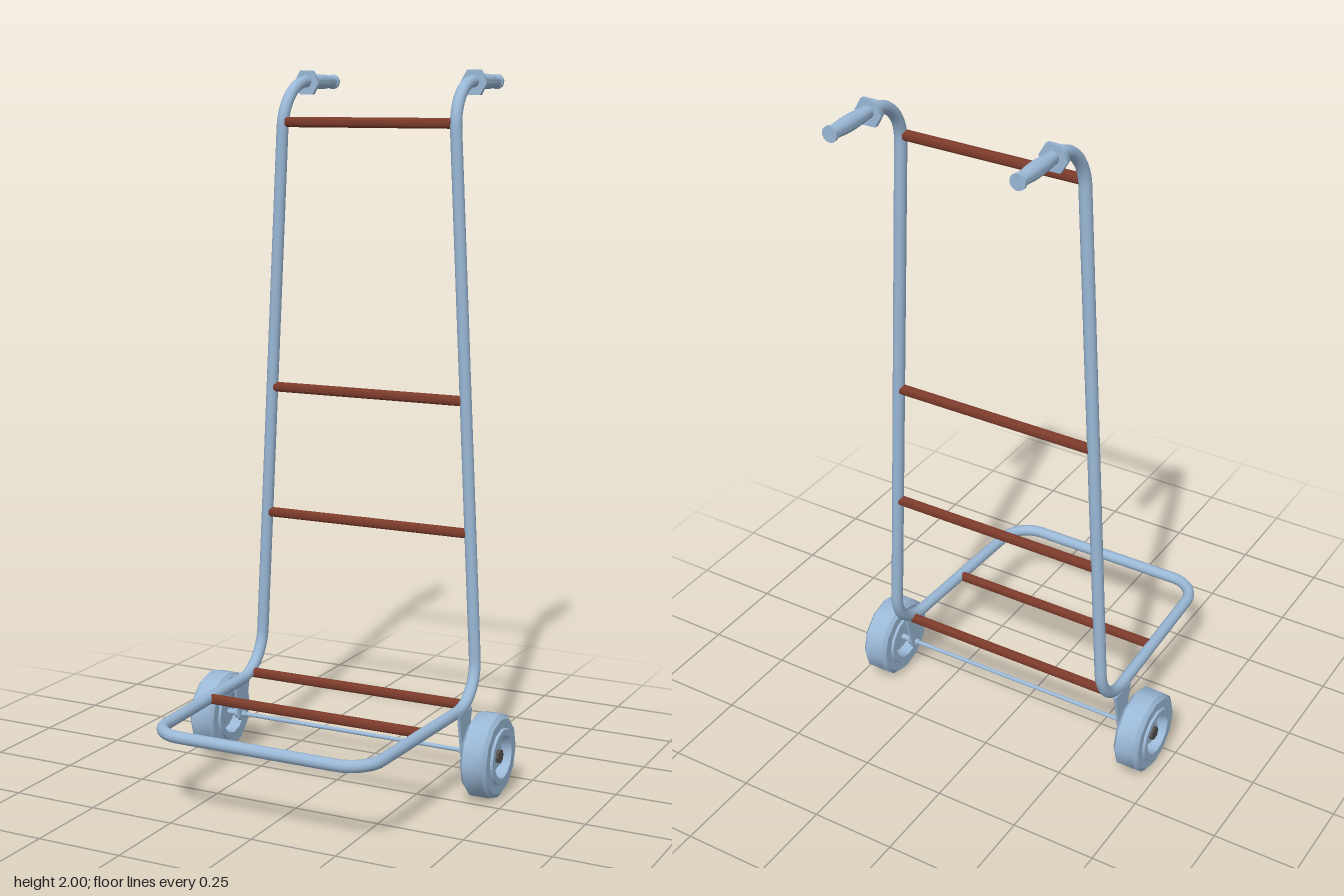
import * as THREE from 'three';
import { toCreasedNormals } from 'three/addons/utils/BufferGeometryUtils.js';

const V = (x, y, z) => new THREE.Vector3(x, y, z);

// Path through corner points, each inner corner rounded over its fillet length
function filletPath(corners) {
  const path = new THREE.CurvePath();
  let last = corners[0].p;
  for (let i = 1; i < corners.length - 1; i++) {
    const { p, r } = corners[i];
    const a = corners[i - 1].p.clone().sub(p).setLength(r).add(p);
    const b = corners[i + 1].p.clone().sub(p).setLength(r).add(p);
    path.add(new THREE.LineCurve3(last, a));
    path.add(new THREE.CubicBezierCurve3(a, a.clone().lerp(p, 0.55), b.clone().lerp(p, 0.55), b));
    last = b;
  }
  path.add(new THREE.LineCurve3(last, corners[corners.length - 1].p));
  return path;
}

export function createModel() {
  const steel = new THREE.MeshStandardMaterial({ color: 0x9ab8d6 });
  steel.name = 'blueSteel';
  const brown = new THREE.MeshStandardMaterial({ color: 0x7c3b2b });
  brown.name = 'redBrown';
  const dark = new THREE.MeshStandardMaterial({ color: 0x55524f });
  dark.name = 'darkGrey';

  const group = new THREE.Group();
  group.name = 'handTruck';
  const add = (name, geometry, material, x = 0, y = 0, z = 0) => {
    const mesh = new THREE.Mesh(geometry, material);
    mesh.name = name;
    mesh.position.set(x, y, z);
    group.add(mesh);
    return mesh;
  };
  // Cylinder lying along x
  const rodX = (r, length, sides) => new THREE.CylinderGeometry(r, r, length, sides).rotateZ(-Math.PI / 2);
  const creased = (g) => toCreasedNormals(g, 0.6);

  // One bent tube: handle, upright, base loop, upright, handle
  const half = [
    { p: V(0.262, 1.968, -0.36), r: 0 },
    { p: V(0.262, 1.968, -0.185), r: 0.13 },
    { p: V(0.35, 0.235, -0.185), r: 0.125 },
    { p: V(0.323, 0.235, 0.473), r: 0.085 },
  ];
  const other = half.map(({ p, r }) => ({ p: V(-p.x, p.y, p.z), r })).reverse();
  add('frameTube', new THREE.TubeGeometry(filletPath([...half, ...other]), 320, 0.017, 12, false), steel);

  // Cross bars: y, z, half length
  const bars = [
    ['topBar', 1.855, -0.185, 0.255],
    ['middleBar', 1.093, -0.185, 0.297],
    ['lowerBar', 0.718, -0.185, 0.315],
    ['rearBaseBar', 0.241, -0.115, 0.337],
    ['frontBaseBar', 0.235, 0.145, 0.326],
  ];
  for (const [name, y, z, h] of bars) add(name, creased(rodX(0.0145, h * 2, 12)), brown, 0, y, z);

  // Grip profile, running back along the handle
  const grip = [[0, 0], [0.017, 0], [0.019, 0.03], [0.0215, 0.07], [0.021, 0.1], [0.018, 0.135],
    [0.018, 0.148], [0.0215, 0.151], [0.0215, 0.16], [0, 0.16]].map(([r, y]) => new THREE.Vector2(r, y));
  const gripGeo = creased(new THREE.LatheGeometry(grip, 14).rotateX(-Math.PI / 2));

  // Hexagonal hand guard with corners pointing sideways
  const guardGeo = new THREE.CylinderGeometry(0.04, 0.04, 0.013, 6).rotateY(Math.PI / 2).rotateX(Math.PI / 2);

  // Wheel profile from centre to tread, mirrored for the other face
  const face = [[0, -0.028], [0.034, -0.028], [0.036, -0.014], [0.056, -0.014], [0.062, -0.046],
    [0.079, -0.046], [0.082, -0.039], [0.108, -0.039], [0.12, -0.029]];
  const profile = [...face, ...face.slice().reverse().map(([r, y]) => [r, -y])]
    .map(([r, y]) => new THREE.Vector2(r, y));
  const wheelGeo = toCreasedNormals(new THREE.LatheGeometry(profile, 12).rotateZ(-Math.PI / 2), 0.56);

  // Axle bracket: tapered plate with a rounded lower end
  const plate = new THREE.Shape();
  plate.moveTo(-0.045, 0.115);
  plate.lineTo(-0.018, -0.008);
  plate.absarc(0, 0, 0.02, Math.PI * 1.13, Math.PI * 1.87, false);
  plate.lineTo(0.045, 0.115);
  plate.closePath();
  const plateGeo = new THREE.ExtrudeGeometry(plate, { depth: 0.008, bevelEnabled: false, curveSegments: 6 })
    .translate(0, 0, -0.004).rotateY(Math.PI / 2);

  const axleY = 0.12, axleZ = -0.08;
  for (const [side, s] of [['left', 1], ['right', -1]]) {
    add(side + 'Grip', gripGeo, steel, s * 0.262, 1.968, -0.33);
    add(side + 'HandGuard', guardGeo, steel, s * 0.262, 1.9655, -0.324);
    add(side + 'Wheel', wheelGeo, steel, s * 0.432, axleY, axleZ);
    add(side + 'AxleBracket', plateGeo, steel, s * 0.359, axleY, axleZ);
    add(side + 'AxleStub', creased(rodX(0.009, 0.07, 10)), steel, s * 0.38, axleY, axleZ);
    add(side + 'InnerNut', rodX(0.015, 0.012, 6), steel, s * 0.371, axleY, axleZ);
    add(side + 'HubBolt', creased(rodX(0.02, 0.012, 8)), dark, s * 0.464, axleY, axleZ);
  }
  add('axle', creased(rodX(0.006, 0.72, 10)), steel, 0, axleY, axleZ);

  return group;
}
